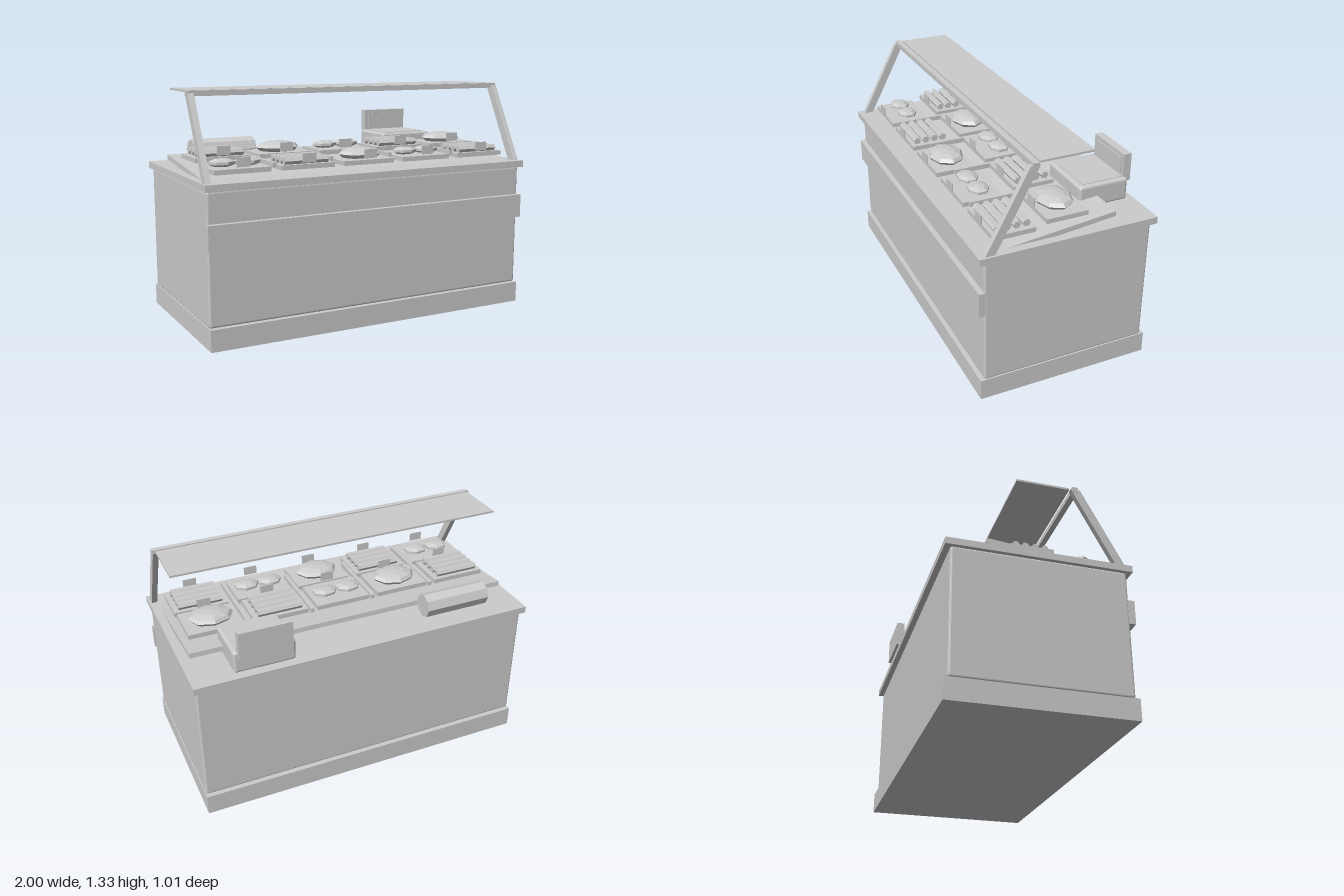
import * as THREE from 'three';
import { RoundedBoxGeometry } from 'three/addons/geometries/RoundedBoxGeometry.js';

export function createModel() {
  const root = new THREE.Group();
  root.name = 'foodCounter';
  const grey = new THREE.MeshStandardMaterial({ color: 0xcccccc });
  grey.name = 'plain grey';
  grey.flatShading = true;

  const add = (name, geometry, x, y, z, parent = root) => {
    const mesh = new THREE.Mesh(geometry, grey);
    mesh.name = name;
    mesh.position.set(x, y, z);
    parent.add(mesh);
    return mesh;
  };
  // Box given by its limits on each axis
  const box = (name, x0, x1, y0, y1, z0, z1, parent = root) =>
    add(name, new THREE.BoxGeometry(x1 - x0, y1 - y0, z1 - z0),
      (x0 + x1) / 2, (y0 + y1) / 2, (z0 + z1) / 2, parent);

  // Cabinet
  box('plinth', -0.987, 0.987, 0, 0.12, -0.497, 0.497);
  add('cabinet', new RoundedBoxGeometry(1.97, 0.715, 0.95, 2, 0.012), 0, 0.4775, 0);
  box('frontPanel', -0.99, 0.99, 0.53, 0.667, 0.47, 0.505);
  box('countertop', -1, 1, 0.835, 0.873, -0.505, 0.505);

  // Sloping display board, its front end sunk into the countertop
  const board = add('displayBoard', new THREE.BoxGeometry(1.904, 0.028, 0.66), 0, 0.888, 0.05);
  board.rotation.x = 0.105;

  // Leaning posts, top rail and canopy
  const side = new THREE.Shape([[0.417, 0.873], [0.47, 0.873], [0.236, 1.312], [0.183, 1.312]]
    .map(([z, y]) => new THREE.Vector2(z, y)));
  const postGeometry = new THREE.ExtrudeGeometry(side, { depth: 0.032, bevelEnabled: false });
  postGeometry.rotateY(-Math.PI / 2).translate(0.016, 0, 0);
  for (const s of [-1, 1]) add(s < 0 ? 'rightPost' : 'leftPost', postGeometry, s * 0.971, 0, 0);
  box('topRail', -0.99, 0.99, 1.296, 1.325, 0.192, 0.224);
  box('canopy', -0.973, 0.973, 1.314, 1.325, -0.118, 0.18);

  // Food shapes, each standing on y = 0
  const stick = new THREE.CylinderGeometry(0.021, 0.021, 0.26, 6).rotateZ(Math.PI / 2);
  const patty = new THREE.SphereGeometry(0.078, 7, 5).scale(1, 0.3, 0.8);
  const mound = new THREE.SphereGeometry(0.13, 8, 6).scale(1, 0.27, 0.77);
  const garnish = new THREE.SphereGeometry(0.052, 6, 4).scale(1, 0.35, 1);
  const foods = [
    (g) => [-0.072, 0.072].forEach((x) => add('patty', patty, x, 0.022, -0.005, g)),
    (g) => [-0.081, -0.027, 0.027, 0.081].forEach((z) => add('breadStick', stick, 0, 0.019, z, g)),
    (g) => {
      add('mound', mound, 0, 0.024, 0, g);
      add('garnish', garnish, 0, 0.04, 0, g);
    },
  ];

  // Two rows of five trays with name cards
  const rows = [{ y: 0.902, z: 0.278 }, { y: 0.93, z: -0.018 }];
  rows.forEach(({ y, z }, row) => {
    for (let col = 0; col < 5; col++) {
      const tray = new THREE.Group();
      tray.name = 'tray';
      tray.position.set((col - 2) * 0.377, y, z);
      box('trayBase', -0.16, 0.16, 0, 0.026, -0.118, 0.118, tray);
      box('card', -0.039, 0.039, 0.036, 0.086, 0.124, 0.13, tray);
      const food = new THREE.Group();
      food.name = 'food';
      food.position.y = 0.025;
      foods[(col + row) % 3](food);
      tray.add(food);
      root.add(tray);
    }
  });

  // Dividers between the columns
  for (const x of [-0.566, -0.189, 0.189, 0.566]) {
    box('divider', x - 0.01, x + 0.01, 0.918, 0.945, -0.13, Math.abs(x) > 0.3 ? 0.37 : 0.3);
  }

  // Weighing till at the back left
  add('tillBody', new RoundedBoxGeometry(0.345, 0.128, 0.292, 2, 0.015), 0.594, 0.938, -0.315);
  box('tillPlate', 0.45, 0.74, 0.998, 1.005, -0.44, -0.2);
  box('tillScreen', 0.445, 0.743, 0.973, 1.13, -0.488, -0.442);
  box('screenFace', 0.467, 0.721, 1.02, 1.105, -0.443, -0.437);

  // Wrapping roll at the back right
  add('wrapRoll', new THREE.CylinderGeometry(0.069, 0.069, 0.39, 8).rotateZ(Math.PI / 2),
    -0.595, 0.941, -0.348);

  return root;
}
